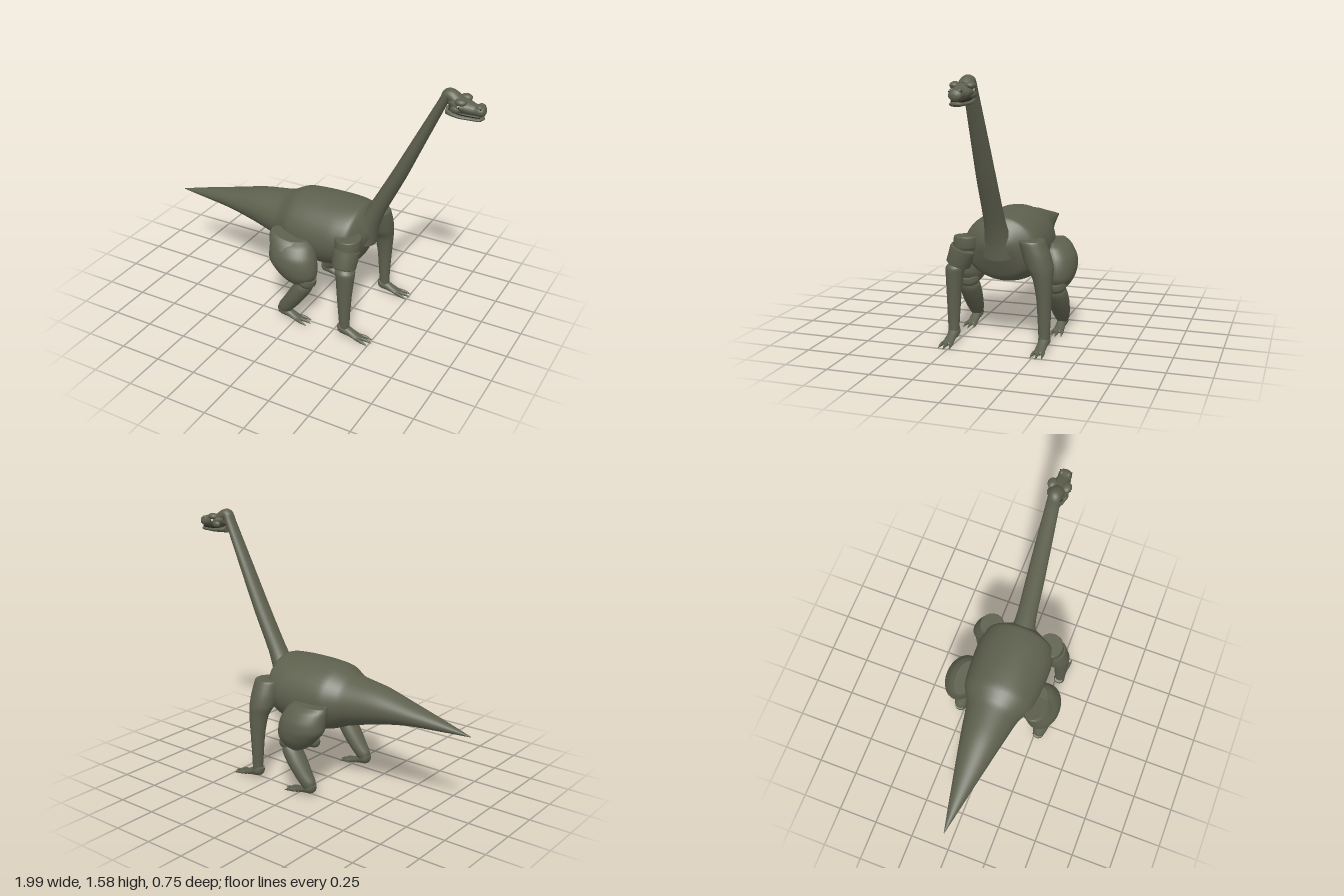
import * as THREE from 'three';

const mat = (name, color) => {
  const m = new THREE.MeshStandardMaterial({ color });
  m.name = name;
  return m;
};

// Skin through elliptical rings. Section: [x, y, z, in-plane radius, z radius].
// Rings follow the path in the xy plane unless a fixed axis [tx, ty] is given.
function loft(secs, { sides = 24, steps = 4, axis = null } = {}) {
  const centre = new THREE.CatmullRomCurve3(secs.map(s => new THREE.Vector3(s[0], s[1], s[2])), false, 'catmullrom', 0.4);
  const size = new THREE.CatmullRomCurve3(secs.map(s => new THREE.Vector3(s[3], s[4], 0)), false, 'catmullrom', 0.4);
  const n = (secs.length - 1) * steps;
  const pos = [], idx = [];
  for (let i = 0; i <= n; i++) {
    const c = centre.getPoint(i / n), r = size.getPoint(i / n);
    const p = centre.getPoint(Math.max(0, i - 1) / n), q = centre.getPoint(Math.min(n, i + 1) / n);
    const t = axis ? new THREE.Vector2(...axis) : new THREE.Vector2(q.x - p.x, q.y - p.y);
    t.normalize();
    for (let j = 0; j < sides; j++) {
      const a = j / sides * Math.PI * 2, u = Math.max(r.x, 0.001) * Math.cos(a);
      pos.push(c.x - t.y * u, c.y + t.x * u, c.z + Math.max(r.y, 0.001) * Math.sin(a));
      if (i < n) {
        const k = i * sides + j, l = i * sides + (j + 1) % sides;
        idx.push(k, l, k + sides, l, l + sides, k + sides);
      }
    }
  }
  // Flat end caps with their own vertices, so the rims stay crisp
  for (const end of [0, n]) {
    const base = pos.length / 3, c = centre.getPoint(end / n);
    pos.push(...pos.slice(end * sides * 3, (end + 1) * sides * 3), c.x, c.y, c.z);
    for (let j = 0; j < sides; j++) {
      const k = base + j, l = base + (j + 1) % sides;
      if (end) idx.push(k, l, base + sides);
      else idx.push(l, k, base + sides);
    }
  }
  const g = new THREE.BufferGeometry();
  g.setAttribute('position', new THREE.Float32BufferAttribute(pos, 3));
  g.setIndex(idx);
  g.computeVertexNormals();
  return g;
}

export function createModel() {
  const model = new THREE.Group();
  model.name = 'longNeckedDinosaur';
  const skin = mat('oliveSkin', 0x5e604e);
  const pale = mat('paleEye', 0xd2cbb0);
  const dark = mat('darkMouth', 0x2a2822);

  const add = (name, geo, material = skin) => {
    const m = new THREE.Mesh(geo, material);
    m.name = name;
    model.add(m);
    return m;
  };
  const ball = (name, x, y, z, rx, ry, rz, material) => {
    const m = add(name, new THREE.SphereGeometry(1, 16, 12), material);
    m.position.set(x, y, z);
    m.scale.set(rx, ry, rz);
  };

  // Tail, trunk and chest
  add('bodyAndTail', loft([
    [-0.99, 0.525, 0, 0.002, 0.002], [-0.8, 0.545, 0, 0.033, 0.043],
    [-0.6, 0.563, 0, 0.065, 0.085], [-0.4, 0.57, 0, 0.11, 0.127],
    [-0.22, 0.558, 0, 0.148, 0.163], [-0.17, 0.558, 0, 0.165, 0.182],
    [-0.1, 0.56, 0, 0.196, 0.22], [0, 0.554, 0, 0.212, 0.235],
    [0.1, 0.552, 0, 0.216, 0.241], [0.2, 0.56, 0, 0.206, 0.24],
    [0.28, 0.572, 0, 0.188, 0.222], [0.31, 0.58, 0, 0.172, 0.195],
    [0.34, 0.59, 0, 0.125, 0.14], [0.375, 0.6, 0, 0.055, 0.07], [0.39, 0.605, 0, 0.003, 0.003],
  ], { sides: 40, axis: [1, 0] }));

  // Neck, curling over into the back of the skull
  add('neck', loft([
    [0.3, 0.56, 0, 0.1, 0.11], [0.345, 0.65, 0, 0.066, 0.075],
    [0.4, 0.765, 0, 0.05, 0.061], [0.52, 1.0, 0, 0.043, 0.056],
    [0.615, 1.2, 0, 0.036, 0.05], [0.71, 1.4, 0, 0.029, 0.043],
    [0.765, 1.515, 0, 0.026, 0.039], [0.787, 1.552, 0, 0.033, 0.038],
    [0.815, 1.545, 0, 0.035, 0.042], [0.84, 1.525, 0, 0.035, 0.045],
  ]));

  // Head
  add('skull', loft([
    [0.8, 1.525, 0, 0.035, 0.035], [0.83, 1.515, 0, 0.036, 0.052],
    [0.87, 1.512, 0, 0.037, 0.06], [0.91, 1.502, 0, 0.034, 0.05],
    [0.94, 1.496, 0, 0.03, 0.038], [0.97, 1.496, 0, 0.032, 0.039],
    [0.992, 1.494, 0, 0.025, 0.032], [1.0, 1.492, 0, 0.008, 0.01],
  ], { axis: [1, 0] }));
  add('lowerJaw', loft([
    [0.785, 1.464, 0, 0.024, 0.034], [0.82, 1.458, 0, 0.02, 0.048],
    [0.87, 1.452, 0, 0.016, 0.051], [0.93, 1.449, 0, 0.013, 0.04],
    [0.975, 1.45, 0, 0.013, 0.035], [0.993, 1.452, 0, 0.004, 0.012],
  ], { axis: [1, 0] }));
  add('mouthInside', loft([
    [0.8, 1.475, 0, 0.014, 0.03], [0.87, 1.469, 0, 0.014, 0.043], [0.975, 1.464, 0, 0.011, 0.028],
  ], { axis: [1, 0] }), dark);
  for (const s of [1, -1]) {
    ball('browRidge', 0.872, 1.537, s * 0.042, 0.034, 0.02, 0.028);
    ball('cheek', 0.845, 1.492, s * 0.044, 0.03, 0.022, 0.018);
    ball('eye', 0.869, 1.514, s * 0.057, 0.01, 0.009, 0.009, pale);
    ball('pupil', 0.871, 1.514, s * 0.0635, 0.005, 0.006, 0.004, dark);
    ball('nostrilBump', 0.968, 1.518, s * 0.02, 0.018, 0.011, 0.013);
    ball('nostril', 0.98, 1.513, s * 0.033, 0.006, 0.004, 0.003, dark);
  }

  // Foot with three clawed toes, placed from the ankle
  const foot = (name, x, s) => {
    const z = s * 0.274;
    add(name, loft([
      [x - 0.03, 0.085, z, 0.018, 0.026], [x - 0.012, 0.06, z, 0.034, 0.036],
      [x + 0.03, 0.043, z, 0.025, 0.029], [x + 0.075, 0.028, z, 0.017, 0.031],
      [x + 0.11, 0.019, z, 0.011, 0.028], [x + 0.118, 0.017, z, 0.004, 0.014],
    ], { sides: 16 }));
    for (const k of [-1, 0, 1]) {
      const reach = k ? 0 : 0.014;
      add('toe', loft([
        [x + 0.075, 0.024, z + k * 0.019, 0.011, 0.011],
        [x + 0.115, 0.02, z + k * 0.027, 0.011, 0.01],
        [x + 0.138 + reach, 0.016, z + k * 0.031, 0.008, 0.007],
        [x + 0.165 + reach, 0.007, z + k * 0.034, 0.001, 0.001],
      ], { sides: 10, steps: 2 }));
    }
  };

  // Hind legs
  for (const s of [1, -1]) {
    add('thigh', loft([
      [-0.055, 0.562, s * 0.235, 0.115, 0.06], [-0.04, 0.535, s * 0.245, 0.135, 0.087],
      [-0.025, 0.48, s * 0.26, 0.148, 0.107], [-0.015, 0.42, s * 0.272, 0.152, 0.104],
      [0.01, 0.36, s * 0.275, 0.128, 0.09], [0.02, 0.315, s * 0.272, 0.092, 0.068],
      [0.025, 0.285, s * 0.27, 0.045, 0.04],
    ], { axis: [0, -1], sides: 32 }));
    add('knee', loft([
      [0.09, 0.345, s * 0.272, 0.05, 0.056], [0.075, 0.318, s * 0.272, 0.062, 0.064],
      [0.062, 0.296, s * 0.272, 0.05, 0.056],
    ], { steps: 3 }));
    add('shin', loft([
      [0.078, 0.31, s * 0.272, 0.034, 0.045], [0.06, 0.275, s * 0.272, 0.052, 0.063],
      [0.015, 0.205, s * 0.274, 0.053, 0.064], [-0.04, 0.125, s * 0.275, 0.047, 0.053],
      [-0.077, 0.078, s * 0.275, 0.042, 0.04], [-0.092, 0.058, s * 0.275, 0.026, 0.028],
    ]));
    foot('hindFoot', -0.075, s);
    foot('frontFoot', 0.335, s);
  }
  // Fold of hide over the left hip
  add('hipFold', loft([
    [-0.062, 0.57, 0.235, 0.115, 0.068], [-0.06, 0.555, 0.242, 0.125, 0.08],
    [-0.052, 0.515, 0.25, 0.128, 0.098],
  ], { axis: [-0.16, -1], steps: 2, sides: 32 }));

  // Left foreleg: two stacked shoulder drums over a tapering forearm
  add('leftShoulder', loft([
    [0.308, 0.635, 0.193, 0.075, 0.074], [0.308, 0.628, 0.194, 0.079, 0.078],
    [0.308, 0.575, 0.2, 0.077, 0.078], [0.308, 0.555, 0.205, 0.068, 0.07],
  ], { axis: [0.05, -1], steps: 2 }));
  const drum = add('leftUpperArm', new THREE.LatheGeometry([
    [0, -0.058], [0.06, -0.058], [0.072, -0.05], [0.079, 0.045], [0.075, 0.056], [0, 0.058],
  ].map(p => new THREE.Vector2(...p)), 28));
  drum.position.set(0.31, 0.512, 0.234);
  drum.rotation.x = -0.35;
  add('leftForearm', loft([
    [0.322, 0.47, 0.257, 0.045, 0.045], [0.325, 0.447, 0.262, 0.06, 0.057],
    [0.328, 0.4, 0.267, 0.055, 0.052], [0.328, 0.28, 0.272, 0.044, 0.043],
    [0.33, 0.15, 0.274, 0.034, 0.036], [0.333, 0.06, 0.274, 0.03, 0.031],
  ], { axis: [0, -1] }));

  // Right foreleg: one smooth limb with a flat shoulder
  add('rightForeleg', loft([
    [0.308, 0.635, -0.195, 0.074, 0.073], [0.308, 0.62, -0.197, 0.08, 0.078],
    [0.31, 0.55, -0.222, 0.082, 0.082], [0.314, 0.48, -0.243, 0.076, 0.078],
    [0.324, 0.42, -0.262, 0.06, 0.058], [0.328, 0.3, -0.272, 0.045, 0.044],
    [0.33, 0.15, -0.274, 0.034, 0.036], [0.333, 0.06, -0.274, 0.03, 0.031],
  ], { axis: [0, -1] }));

  return model;
}
